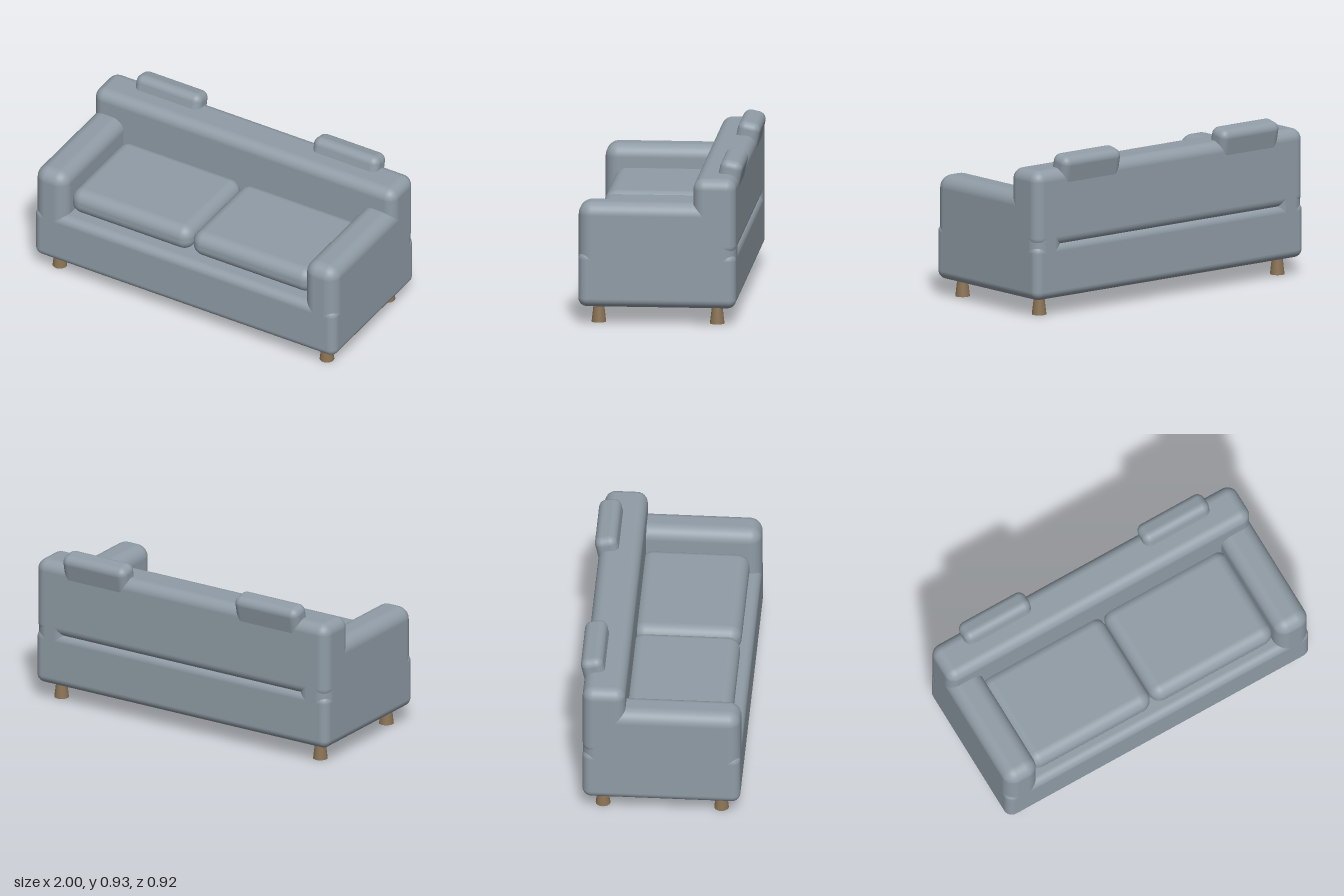
import * as THREE from 'three';
import { RoundedBoxGeometry } from 'three/addons/geometries/RoundedBoxGeometry.js';

const fabric = new THREE.MeshStandardMaterial({ color: 0x909ca6 });
const wood = new THREE.MeshStandardMaterial({ color: 0x8b7355 });

// Soft-edged block spanning the given [min, max] ranges
function softBlock(name, [x0, x1], [y0, y1], [z0, z1], radius) {
  const geometry = new RoundedBoxGeometry(x1 - x0, y1 - y0, z1 - z0, 6, radius);
  const mesh = new THREE.Mesh(geometry, fabric);
  mesh.name = name;
  mesh.position.set((x0 + x1) / 2, (y0 + y1) / 2, (z0 + z1) / 2);
  return mesh;
}

export function createModel() {
  const sofa = new THREE.Group();
  sofa.name = 'sofa';

  // Base and backrest run the full width
  sofa.add(softBlock('base', [-1, 1], [0.1, 0.425], [-0.44, 0.462], 0.05));
  sofa.add(softBlock('backrest', [-1, 1], [0.4, 0.85], [-0.44, -0.195], 0.063));

  for (const [side, s] of [['left', 1], ['right', -1]]) {
    const span = (a, b) => (s > 0 ? [a, b] : [-b, -a]);

    sofa.add(softBlock(side + 'Arm', span(0.79, 1), [0.215, 0.706], [-0.44, 0.462], 0.075));
    sofa.add(softBlock(side + 'SeatCushion', span(0.002, 0.802), [0.425, 0.582], [-0.22, 0.4], 0.07));

    // Pillow leaning back out of the top of the backrest
    const pillow = softBlock(side + 'Pillow', span(0.373, 0.806), [0.576, 0.926], [-0.4345, -0.3045], 0.045);
    pillow.rotation.x = -0.214;
    sofa.add(pillow);

    // Tapered wooden legs
    for (const [end, z] of [['Front', 0.35], ['Back', -0.327]]) {
      const leg = new THREE.Mesh(new THREE.CylinderGeometry(0.029, 0.042, 0.11, 24), wood);
      leg.name = side + end + 'Leg';
      leg.position.set(s * 0.887, 0.055, z);
      sofa.add(leg);
    }
  }
  return sofa;
}
